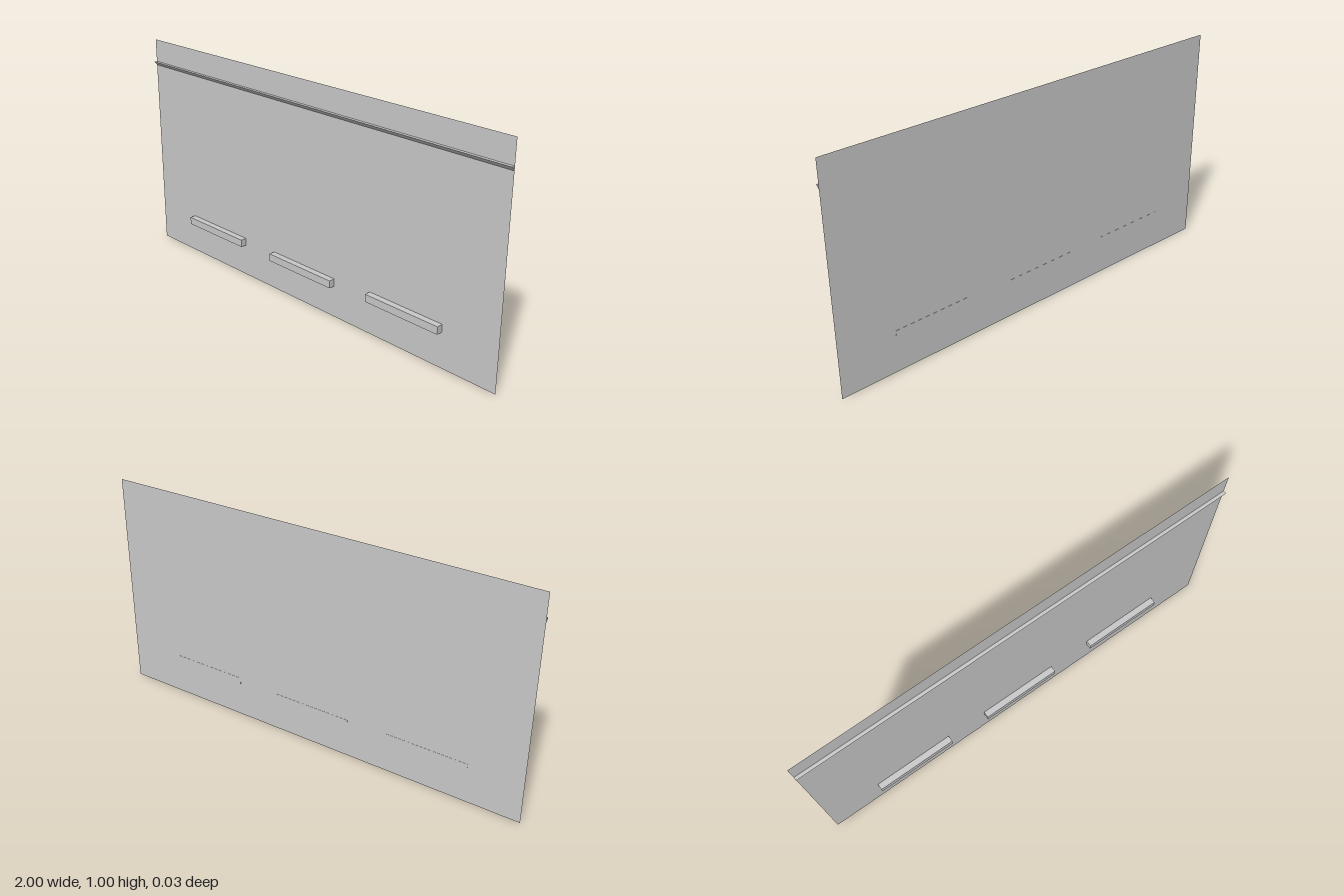
import * as THREE from 'three';

export function createModel() {
  const model = new THREE.Group();
  const grey = new THREE.MeshStandardMaterial({ color: 0xc8c8c8, side: THREE.DoubleSide });
  grey.name = 'light grey';
  const backZ = -0.0138;

  const add = (name, geometry, x, y, z) => {
    const mesh = new THREE.Mesh(geometry, grey);
    mesh.name = name;
    mesh.position.set(x, y, z);
    model.add(mesh);
  };

  // Thin upright sheet
  add('panel', new THREE.PlaneGeometry(2, 1), 0, 0.5, backZ);

  // Full-width ledge: flat top, underside sloping back to the panel
  const profile = new THREE.Shape([
    new THREE.Vector2(0, 0),
    new THREE.Vector2(0, 0.017),
    new THREE.Vector2(-0.0145, 0.017),
  ]);
  const ledge = new THREE.ExtrudeGeometry(profile, { depth: 2, bevelEnabled: false });
  ledge.rotateY(Math.PI / 2); // profile -x becomes +z, depth runs along +x
  add('ledge', ledge, -1, 0.879, backZ);

  // Three slightly uneven bars near the bottom, their backs just through the panel
  const bars = [[-0.574, 0.164], [-0.014, 0.16], [0.555, 0.173]];
  for (const [x, y] of bars) {
    add('bar', new THREE.BoxGeometry(0.37, 0.034, 0.029), x, y, 0);
  }
  return model;
}
